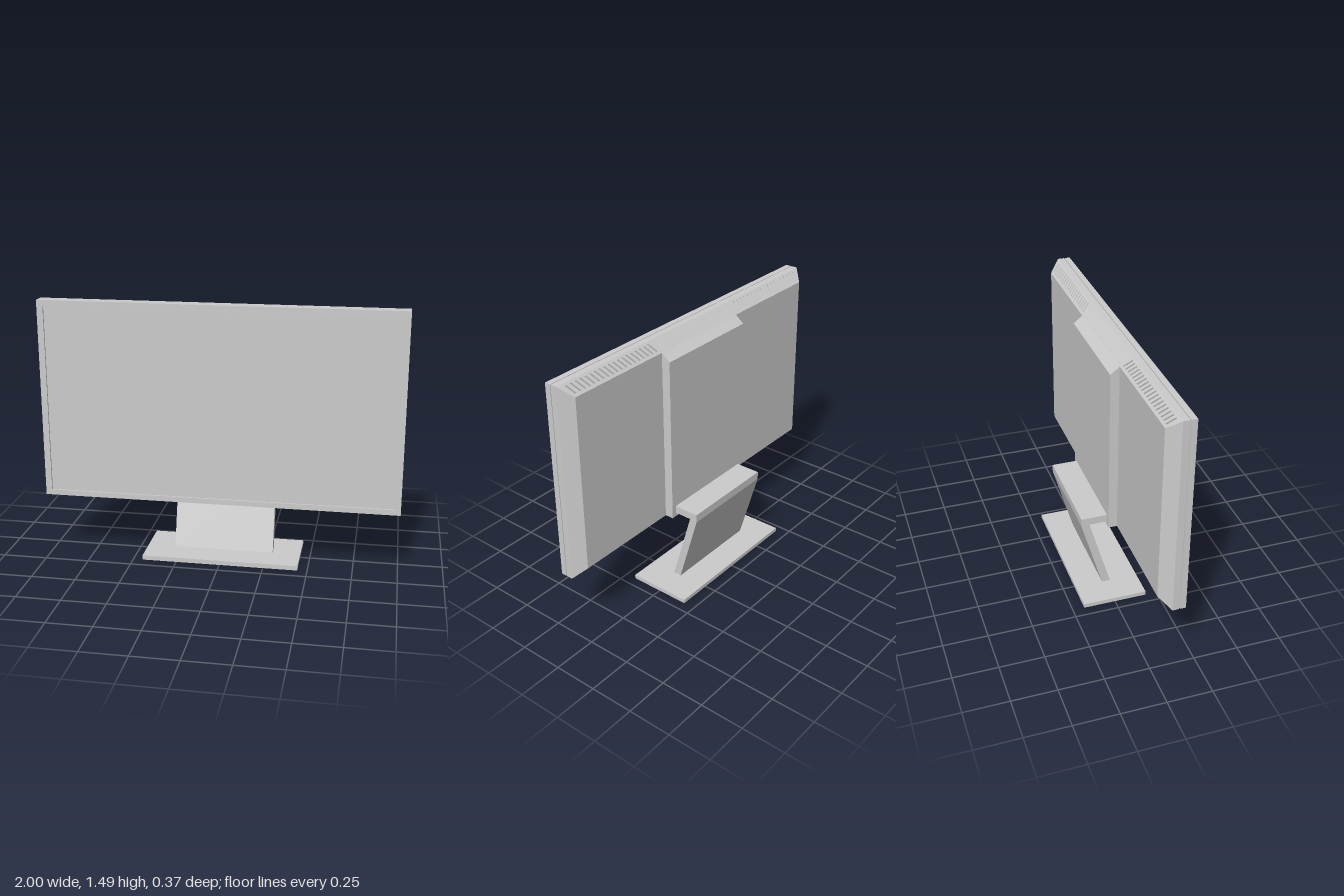
import * as THREE from 'three';

const grey = new THREE.MeshStandardMaterial({ color: 0xcccccc, flatShading: true });

function add(parent, name, geometry) {
  const mesh = new THREE.Mesh(geometry, grey);
  mesh.name = name;
  parent.add(mesh);
  return mesh;
}

// box given by its limits on each axis
function box(parent, name, [x0, x1], [y0, y1], [z0, z1]) {
  const mesh = add(parent, name, new THREE.BoxGeometry(x1 - x0, y1 - y0, z1 - z0));
  mesh.position.set((x0 + x1) / 2, (y0 + y1) / 2, (z0 + z1) / 2);
  return mesh;
}

const polygon = (pts, Type = THREE.Shape) => new Type(pts.map(([x, y]) => new THREE.Vector2(x, y)));
const rect = (x, y0, y1) => [[-x, y0], [x, y0], [x, y1], [-x, y1]];

// flat four-sided faces, corners counter-clockwise from outside
function quads(list) {
  const pos = [];
  for (const [a, b, c, d] of list) pos.push(...a, ...b, ...c, ...a, ...c, ...d);
  const g = new THREE.BufferGeometry();
  g.setAttribute('position', new THREE.Float32BufferAttribute(pos, 3));
  g.computeVertexNormals();
  return g;
}

// cabinet limits
const BOTTOM = 0.37, TOP = 1.49, FRONT = 0.185, REAR = 0.112;
// flat rear panel after the bevel
const BX = 0.94, BB = 0.43, BT = 1.43, BZ = 0.05;

function createScreen() {
  const g = new THREE.Group();
  g.name = 'display';

  // front frame with the screen set back inside it
  const frame = polygon(rect(1, BOTTOM, TOP));
  frame.holes.push(polygon(rect(0.965, 0.4, 1.455), THREE.Path));
  const bezel = add(g, 'bezel', new THREE.ExtrudeGeometry(frame, { depth: 0.033, bevelEnabled: false }));
  bezel.position.z = FRONT - 0.033;
  box(g, 'screenPanel', [-0.97, 0.97], [0.395, 1.46], [0.152, FRONT - 0.01]);
  box(g, 'topStrip', [-0.55, 0.55], [1.449, 1.456], [0.17, FRONT - 0.004]);

  // seam between the front frame and the rear cabinet
  box(g, 'seam', [-0.994, 0.994], [BOTTOM + 0.006, TOP - 0.006], [0.146, 0.154]);
  box(g, 'cabinet', [-1, 1], [BOTTOM, TOP], [REAR, 0.148]);
  return g;
}

function createRearShell() {
  const g = new THREE.Group();
  g.name = 'rearShell';

  // bevelled sides, bevelled bottom and flat back
  const o = [[1, BOTTOM, REAR], [1, TOP, REAR], [-1, TOP, REAR], [-1, BOTTOM, REAR]];
  const i = [[BX, BB, BZ], [BX, BT, BZ], [-BX, BT, BZ], [-BX, BB, BZ]];
  add(g, 'rearPanels', quads([
    [i[0], i[3], i[2], i[1]],
    [o[0], i[0], i[1], o[1]],
    [o[2], i[2], i[3], o[3]],
    [o[3], i[3], i[0], o[0]],
  ]));

  // sloping top plate with slanted vent slots
  const dy = BT - TOP, dz = BZ - REAR, len = Math.hypot(dy, dz), depth = 0.02;
  const plate = polygon([[-1, 0], [1, 0], [BX, len], [-BX, len]]);
  for (const side of [-1, 1]) {
    for (let k = 0; k < 19; k++) {
      const x = 0.35 + k * 0.0325, w = 0.006, lean = 0.012;
      plate.holes.push(polygon([
        [side * (x + lean - w), 0.015], [side * (x + lean + w), 0.015],
        [side * (x - lean + w), 0.07], [side * (x - lean - w), 0.07],
      ], THREE.Path));
    }
  }
  const along = new THREE.Vector3(0, dy / len, dz / len);
  const across = new THREE.Vector3(1, 0, 0);
  const out = new THREE.Vector3().crossVectors(across, along);
  const place = new THREE.Matrix4().makeBasis(across, along, out)
    .setPosition(new THREE.Vector3(0, TOP, REAR).addScaledVector(out, -depth));
  const vents = new THREE.ExtrudeGeometry(plate, { depth, bevelEnabled: false });
  add(g, 'ventPlate', vents.applyMatrix4(place));

  // floor below the slots
  const floor = new THREE.ShapeGeometry(polygon(rect(0.96, 0.01, 0.075)));
  add(g, 'ventFloor', floor.applyMatrix4(place));

  // raised centre housing with a sloping top
  const profile = polygon([[0.06, BB], [0.06, BT + 0.01], [BZ, BT], [0, 1.39], [0, BB]]);
  add(g, 'centreHousing', sideways(profile, 0.315));
  return g;
}

// extrude a (z, y) profile across x, centred
function sideways(shape, half) {
  const g = new THREE.ExtrudeGeometry(shape, { depth: half * 2, bevelEnabled: false });
  return g.translate(0, 0, -half).rotateY(-Math.PI / 2);
}

function createStand() {
  const g = new THREE.Group();
  g.name = 'stand';
  // leaning upright folding forward into the mounting arm
  const profile = polygon([
    [0.022, 0.025], [-0.026, 0.025], [-0.148, 0.45], [-0.148, 0.497],
    [0.002, 0.497], [0.002, 0.453], [-0.102, 0.453],
  ]);
  add(g, 'upright', sideways(profile, 0.287));
  box(g, 'base', [-0.446, 0.446], [0.005, 0.027], [-0.185, 0.183]);
  box(g, 'basePad', [-0.443, 0.443], [0, 0.005], [-0.182, 0.18]);
  return g;
}

export function createModel() {
  const model = new THREE.Group();
  model.name = 'monitor';
  model.add(createScreen(), createRearShell(), createStand());
  return model;
}
